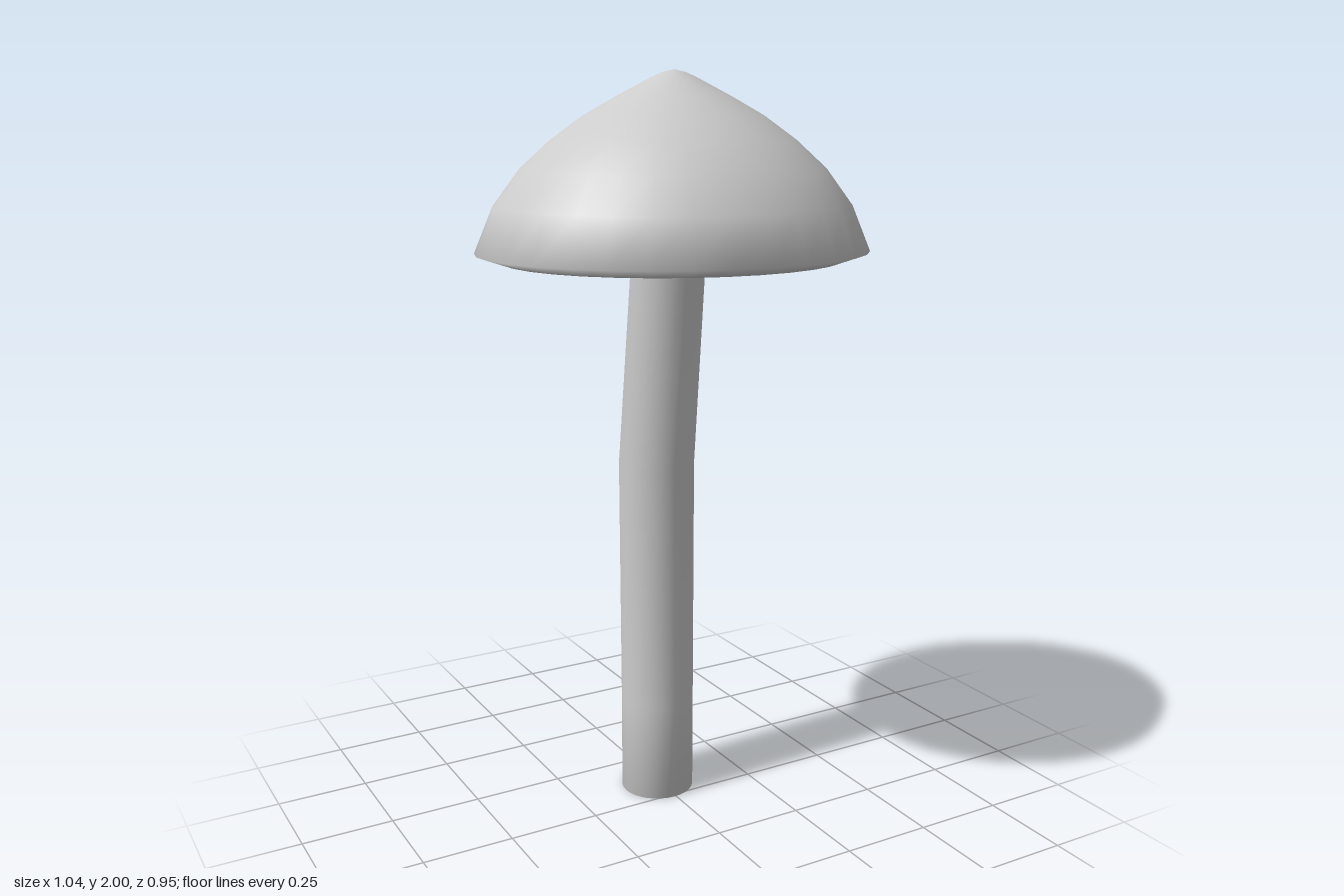
import * as THREE from 'three';
import { mergeVertices } from 'three/addons/utils/BufferGeometryUtils.js';

// Closed smooth skin through oval rings, each given as [x, y, z, radiusX, radiusZ]
function loft(rings, sides) {
  const last = rings.length - 1;
  const tube = new THREE.CylinderGeometry(1, 1, last, sides, last);
  const pos = tube.attributes.position;
  for (let i = 0; i < pos.count; i++) {
    const [x, y, z, rx, rz] = rings[Math.round(pos.getY(i) + last / 2)];
    pos.setXYZ(i, x + pos.getX(i) * rx, y, z + pos.getZ(i) * rz);
  }
  // Weld the seams so the skin shades smoothly throughout
  tube.deleteAttribute('normal');
  tube.deleteAttribute('uv');
  const geometry = mergeVertices(tube);
  geometry.computeVertexNormals();
  return geometry;
}

export function createModel() {
  // Bent stem, from the ground up to where it meets the cap
  const stem = [
    [-0.005, 0, -0.09, 0.102],
    [-0.002, 0.27, -0.094, 0.102],
    [0.005, 0.96, -0.107, 0.104],
    [0.001, 1.53, -0.031, 0.098],
    [0, 1.575, -0.025, 0.098],
  ].map(([x, y, z, r]) => [x, y, z, r, r]);

  // Oval cap: hollowed underside, bevelled rim, dome and pointed crown
  const cap = [
    [0.18, 1.56], [0.28, 1.54], [0.45, 1.525], [0.52, 1.548], [0.47, 1.665],
    [0.4, 1.757], [0.32, 1.828], [0.235, 1.888], [0.15, 1.935],
    [0.06, 1.981], [0.03, 1.994], [0.004, 2],
  ].map(([r, y]) => [0, y, 0, r, r * 0.912]);

  const material = new THREE.MeshStandardMaterial({ color: 0xcccccc, side: THREE.DoubleSide });
  const body = new THREE.Mesh(loft([...stem, ...cap], 32), material);
  body.name = 'stemAndCap';

  const model = new THREE.Group();
  model.name = 'mushroom';
  model.add(body);
  return model;
}
